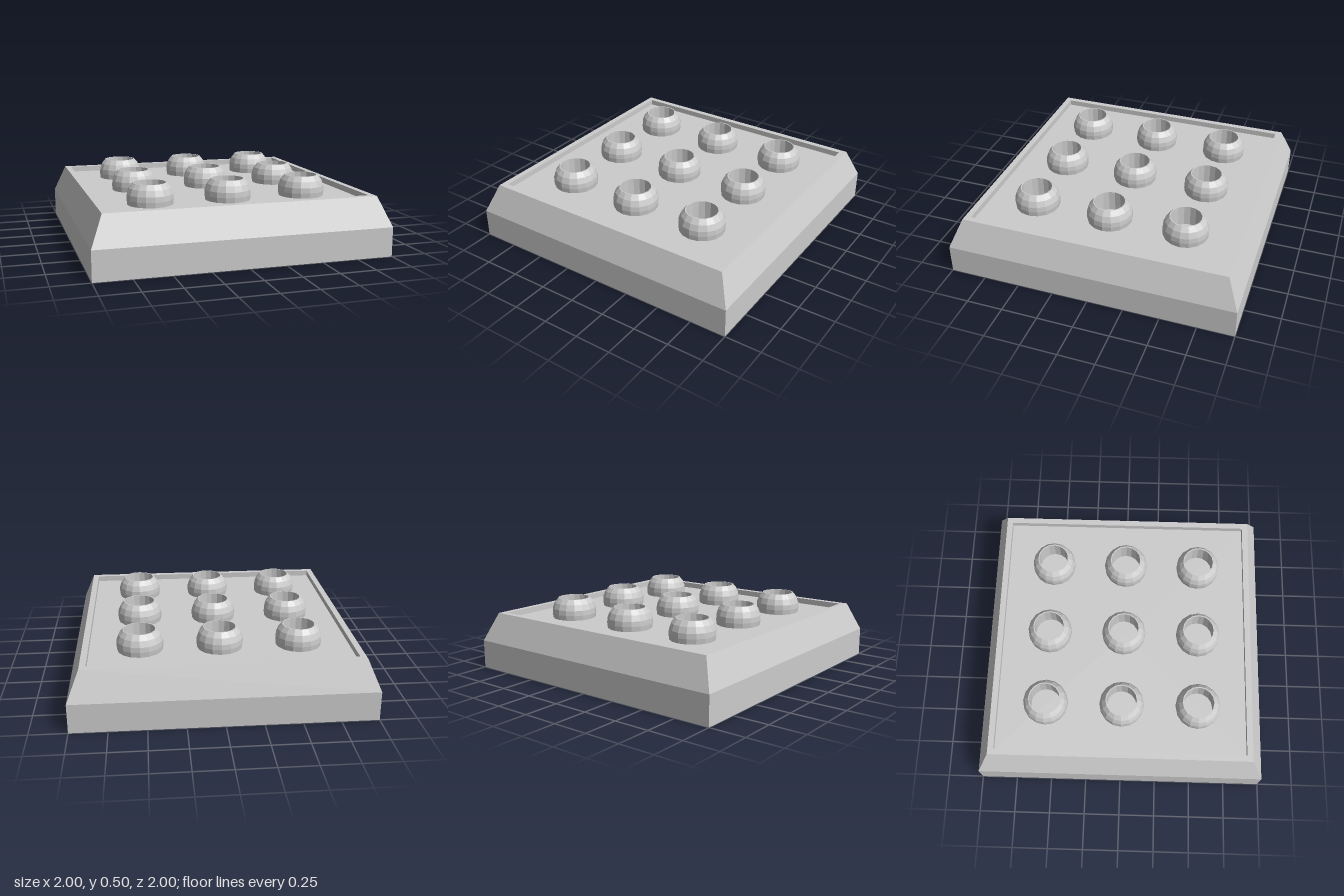
import * as THREE from 'three';

// Faceted solid swept from a [radius, height] profile, listed from the bottom up
function turned(name, profile, sides, phiStart = 0) {
  const points = profile.map(([r, y]) => new THREE.Vector2(r, y));
  const geometry = new THREE.LatheGeometry(points, sides, phiStart);
  const material = new THREE.MeshStandardMaterial({ color: 0xcccccc, flatShading: true });
  const mesh = new THREE.Mesh(geometry, material);
  mesh.name = name;
  return mesh;
}

export function createModel() {
  const model = new THREE.Group();
  model.name = 'studdedTile';
  const floorY = 0.36;

  // Square base: straight sides, bevel, thin rim and a shallow recess
  const halfWidths = [
    [0, 0], [1, 0], [1, 0.2], [0.917, 0.4],
    [0.875, 0.4], [0.875, floorY], [0, floorY],
  ];
  const baseProfile = halfWidths.map(([w, y]) => [w * Math.SQRT2, y]);
  model.add(turned('base', baseProfile, 4, Math.PI / 4));

  // Hollow rounded studs in a 3 x 3 grid on the recess floor
  const studProfile = [
    [0.153, 0], [0.157, 0.035], [0.155, 0.07], [0.14, 0.11],
    [0.113, 0.143], [0.105, 0.143], [0.105, 0],
  ];
  const studs = new THREE.Group();
  studs.name = 'studs';
  const spacing = 0.535;
  for (let row = -1; row <= 1; row++) {
    for (let column = -1; column <= 1; column++) {
      const stud = turned('stud', studProfile, 16);
      stud.position.set(column * spacing, floorY, row * spacing);
      studs.add(stud);
    }
  }
  model.add(studs);
  return model;
}
